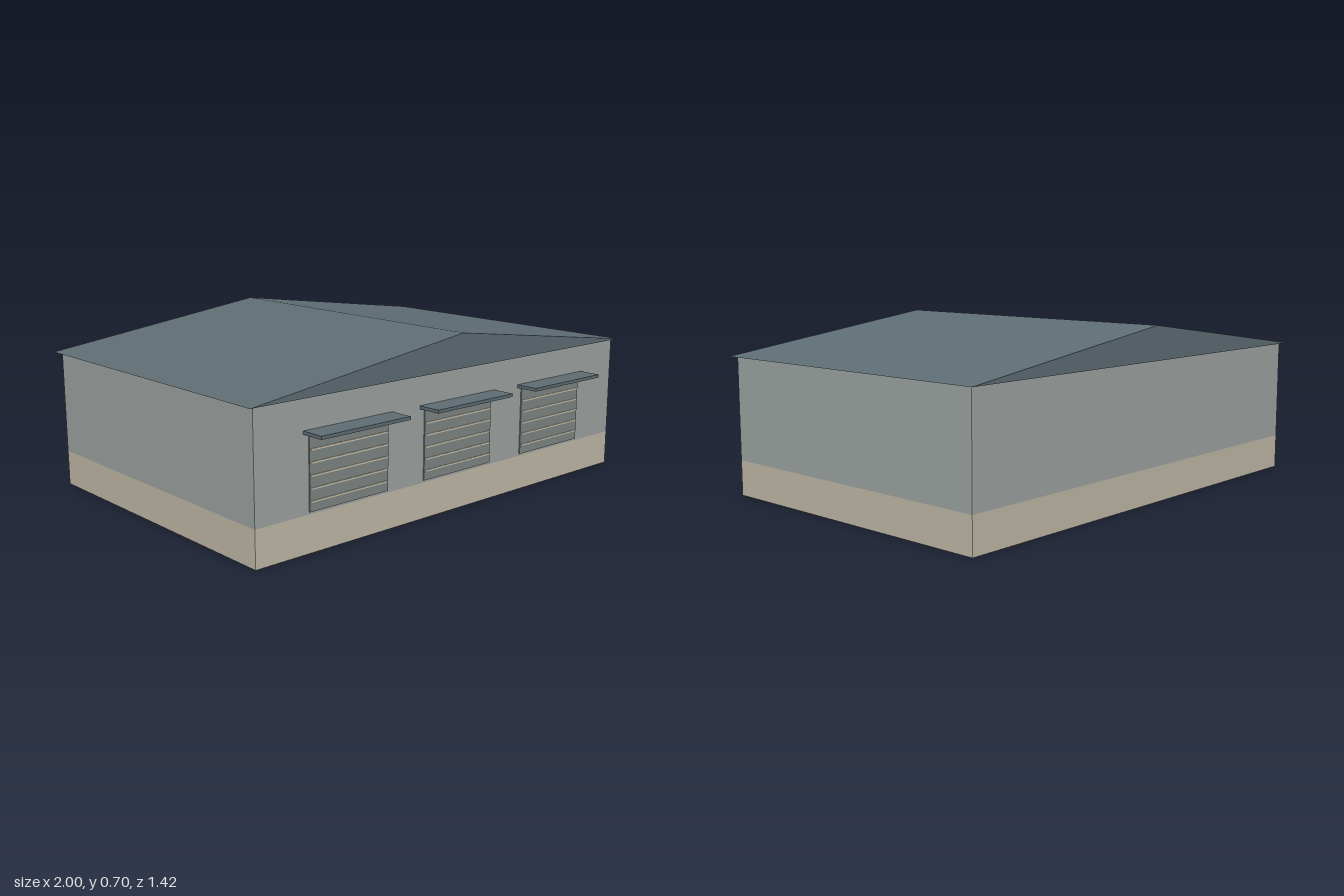
import * as THREE from 'three';

const paint = (color) => new THREE.MeshStandardMaterial({ color, flatShading: true });

export function createModel() {
  const model = new THREE.Group();
  model.name = 'garage';
  const wall = paint(0x9fa6a4), stone = paint(0xc3bba9), roofing = paint(0x5f6e75);
  const shutter = paint(0x7f8785), trim = paint(0xcfc7b0);

  // Box given by its centre x, and by its y and z ranges
  const box = (parent, name, material, x, width, y0, y1, z0, z1) => {
    const mesh = new THREE.Mesh(new THREE.BoxGeometry(width, y1 - y0, z1 - z0), material);
    mesh.name = name;
    mesh.position.set(x, (y0 + y1) / 2, (z0 + z1) / 2);
    parent.add(mesh);
  };

  // Building body: plinth below, walls above
  box(model, 'plinth', stone, 0, 1.95, 0, 0.143, -0.685, 0.615);
  box(model, 'walls', wall, 0, 1.95, 0.143, 0.562, -0.685, 0.615);

  // Solid gable roof with a small overhang
  const gable = new THREE.Shape();
  gable.moveTo(-1, 0.562);
  gable.lineTo(1, 0.562);
  gable.lineTo(0, 0.698);
  gable.closePath();
  const roof = new THREE.Mesh(
    new THREE.ExtrudeGeometry(gable, { depth: 1.346, bevelEnabled: false }), roofing);
  roof.name = 'roof';
  roof.position.z = -0.71;
  model.add(roof);

  // Three roller doors, each with thin ribs and a flat canopy
  for (const x of [-0.557, 0, 0.557]) {
    const door = new THREE.Group();
    door.name = 'rollerDoor';
    box(door, 'doorPanel', shutter, x, 0.37, 0.152, 0.432, 0.6, 0.62);
    for (let i = 0; i < 5; i++) {
      const y = 0.189 + i * 0.0465;
      box(door, 'doorRib', trim, x, 0.364, y - 0.003, y + 0.003, 0.61, 0.623);
    }
    box(door, 'doorCanopy', roofing, x, 0.416, 0.432, 0.445, 0.61, 0.71);
    model.add(door);
  }
  return model;
}
